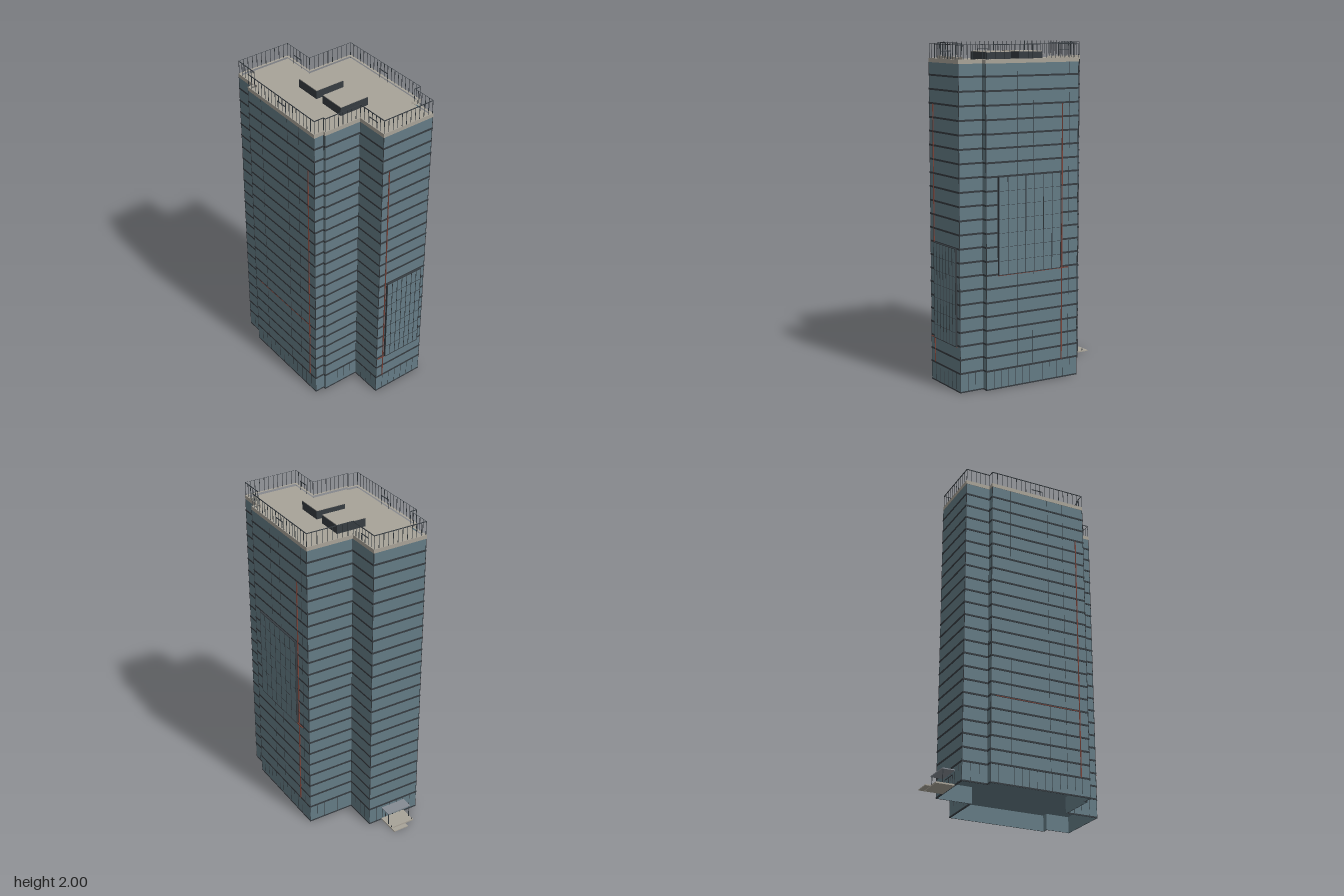
import * as THREE from 'three';
import { mergeGeometries } from 'three/addons/utils/BufferGeometryUtils.js';

// Stepped footprint as [x, z], clockwise seen from above
const PLAN = [
  [-0.218, -0.34], [0.412, -0.34], [0.412, -0.30], [0.565, -0.30], [0.565, 0.045],
  [0.36, 0.045], [0.36, 0.285], [0.345, 0.285], [0.345, 0.347], [-0.28, 0.347],
  [-0.28, 0.307], [-0.434, 0.307], [-0.434, -0.04], [-0.218, -0.04],
];
const FLOOR = 0.0812, FIRST = 0.11, ROOF = 1.897, PARAPET = 1.917;

const mat = (color, side = THREE.FrontSide) => new THREE.MeshStandardMaterial({ color, side });
const glass = mat(0x647b85);
const glassTwoSided = mat(0x647b85, THREE.DoubleSide);
const stone = mat(0xa8a398);
const dark = mat(0x363c41);
const red = mat(0x7a4238);
const slate = mat(0x858b93);

// Moves every edge of the right-angled footprint outwards by d
function offset(d) {
  const n = PLAN.length;
  const normal = (a, b) => [Math.sign(b[1] - a[1]), -Math.sign(b[0] - a[0])];
  return PLAN.map((p, i) => {
    const m = normal(PLAN[(i + n - 1) % n], p), k = normal(p, PLAN[(i + 1) % n]);
    return new THREE.Vector2(p[0] + d * (m[0] + k[0]), -(p[1] + d * (m[1] + k[1])));
  });
}

// Footprint prism from y0 to y1; with an inner offset it becomes a ring
function prism(y0, y1, outer, inner) {
  const shape = new THREE.Shape(offset(outer));
  if (inner !== undefined) shape.holes.push(new THREE.Path(offset(inner)));
  const geo = new THREE.ExtrudeGeometry(shape, { depth: y1 - y0, bevelEnabled: false });
  return geo.rotateX(-Math.PI / 2).translate(0, y0, 0);
}

// Box from its limits, non-indexed so that it merges with prisms
function box(x0, x1, y0, y1, z0, z1) {
  return new THREE.BoxGeometry(x1 - x0, y1 - y0, z1 - z0).toNonIndexed()
    .translate((x0 + x1) / 2, (y0 + y1) / 2, (z0 + z1) / 2);
}

// Upright posts along each edge of the footprint
function posts(spacing, y0, y1, t, d) {
  const line = offset(d), out = [];
  line.forEach((a, i) => {
    const b = line[(i + 1) % line.length];
    const count = Math.max(1, Math.round(a.distanceTo(b) / spacing));
    for (let k = 0; k < count; k++) {
      const p = a.clone().lerp(b, k / count);
      out.push(box(p.x - t / 2, p.x + t / 2, y0, y1, -p.y - t / 2, -p.y + t / 2));
    }
  });
  return out;
}

export function createModel() {
  const model = new THREE.Group();
  const add = (name, geos, material) => {
    const mesh = new THREE.Mesh(Array.isArray(geos) ? mergeGeometries(geos) : geos, material);
    mesh.name = name;
    model.add(mesh);
  };

  // Tower body over a hollow, open-bottomed lobby
  add('towerWalls', prism(0.1, ROOF - 0.004, 0), glass);
  add('lobbyWalls', prism(0, 0.1, 0, -0.004), glassTwoSided);
  add('roofSlab', prism(ROOF - 0.004, ROOF, 0), stone);
  add('parapet', prism(ROOF - 0.004, PARAPET, 0.002, -0.012), stone);

  // Dark floor bands and base strip
  const bands = [prism(0, 0.008, 0.002, -0.005)];
  for (let i = 0; i < 22; i++) {
    const y = FIRST + i * FLOOR;
    bands.push(prism(y, y + 0.011, 0.003, -0.001));
  }
  add('floorBands', bands, dark);

  // Thin mullions: lobby bays, and seams on the upper facades
  add('lobbyMullions', posts(0.05, 0, FIRST, 0.002, 0), dark);
  const seams = [];
  for (const x of [-0.155, 0.095, 0.2]) {
    seams.push(box(x - 0.001, x + 0.001, FIRST, ROOF, 0.345, 0.348));
    seams.push(box(x - 0.001, x + 0.001, FIRST, ROOF, -0.341, -0.338));
  }
  add('facadeSeams', [...seams, ...posts(9, FIRST, ROOF, 0.003, 0)], dark);

  // Roof railing with four short inner bars
  const rail = posts(0.032, PARAPET, 2, 0.0025, -0.002);
  rail.push(prism(1.996, 2, 0, -0.004));
  for (const [x, z] of [[0.097, -0.332], [-0.327, -0.032], [0.463, 0.037], [0.032, 0.339]]) {
    rail.push(box(x - 0.037, x + 0.037, 1.952, 1.956, z - 0.002, z + 0.002));
    for (const s of [-0.036, 0.036])
      rail.push(box(x + s - 0.001, x + s + 0.001, ROOF, 1.956, z - 0.001, z + 0.001));
  }
  add('roofRailing', rail, dark);

  // Two rooftop plant units
  for (const x of [-0.13, 0.092]) {
    add('plantUnit', box(x, x + 0.165, ROOF, 1.947, -0.09, 0.1), dark);
    add('plantUnitLid', box(x + 0.002, x + 0.163, 1.946, 1.951, -0.088, 0.098), stone);
  }

  // Projecting glazed panels with a dark grid, on the back and the +x side
  const grid = (u0, u1, y0, y1, place) => {
    const bars = [];
    for (let i = 0; i <= 7; i++) {
      const u = u0 + (u1 - u0) * i / 7;
      bars.push(place(u - 0.0015, u + 0.0015, y0, y1));
    }
    for (let i = 0; i <= 7; i++) {
      const y = y0 + (y1 - y0) * i / 7, t = i % 7 ? 0.0008 : 0.002;
      bars.push(place(u0, u1, y - t, y + t));
    }
    return bars;
  };
  add('backPanel', box(-0.09, 0.335, 0.68, 1.25, -0.352, -0.335), glass);
  add('backPanelGrid', grid(-0.09, 0.335, 0.68, 1.25,
    (a, b, c, d) => box(a, b, c, d, -0.354, -0.338)), dark);
  add('sidePanel', box(0.56, 0.576, 0.272, 0.845, -0.268, -0.012), glass);
  add('sidePanelGrid', grid(-0.268, -0.012, 0.272, 0.845,
    (a, b, c, d) => box(0.563, 0.578, c, d, a, b)), dark);

  // Red service pipes
  add('redPipes', [
    box(0.286, 0.291, 0.115, 1.655, 0.345, 0.352),
    box(-0.25, 0.288, 0.517, 0.521, 0.345, 0.351),
    box(0.563, 0.57, 0.115, 1.655, -0.003, 0.002),
    box(0.563, 0.572, 0.267, 0.272, -0.268, 0.04),
    box(-0.108, -0.103, 0.115, 1.655, -0.346, -0.338),
    box(-0.15, 0.335, 0.674, 0.679, -0.348, -0.338),
  ], red);

  // Entrance on the -x side: platform, step, canopy, posts and door frame
  add('entrancePlatform', [
    box(-0.545, -0.434, 0, 0.009, 0.05, 0.214),
    box(-0.58, -0.55, 0, 0.006, 0.05, 0.152),
    box(-0.55, -0.545, 0, 0.006, 0.05, 0.066),
  ], stone);
  add('canopy', box(-0.51, -0.434, 0.088, 0.094, 0.05, 0.214), slate);
  const frame = [box(-0.437, -0.433, 0.07, 0.074, 0.08, 0.184)];
  for (const z of [0.056, 0.208]) {
    frame.push(box(-0.506, -0.502, 0.009, 0.088, z - 0.002, z + 0.002));
    frame.push(box(-0.541, -0.537, 0.009, 0.02, z - 0.002, z + 0.002));
  }
  for (const z of [0.08, 0.132, 0.184])
    frame.push(box(-0.437, -0.433, 0.008, 0.074, z - 0.002, z + 0.002));
  add('entranceFrame', frame, dark);

  return model;
}
